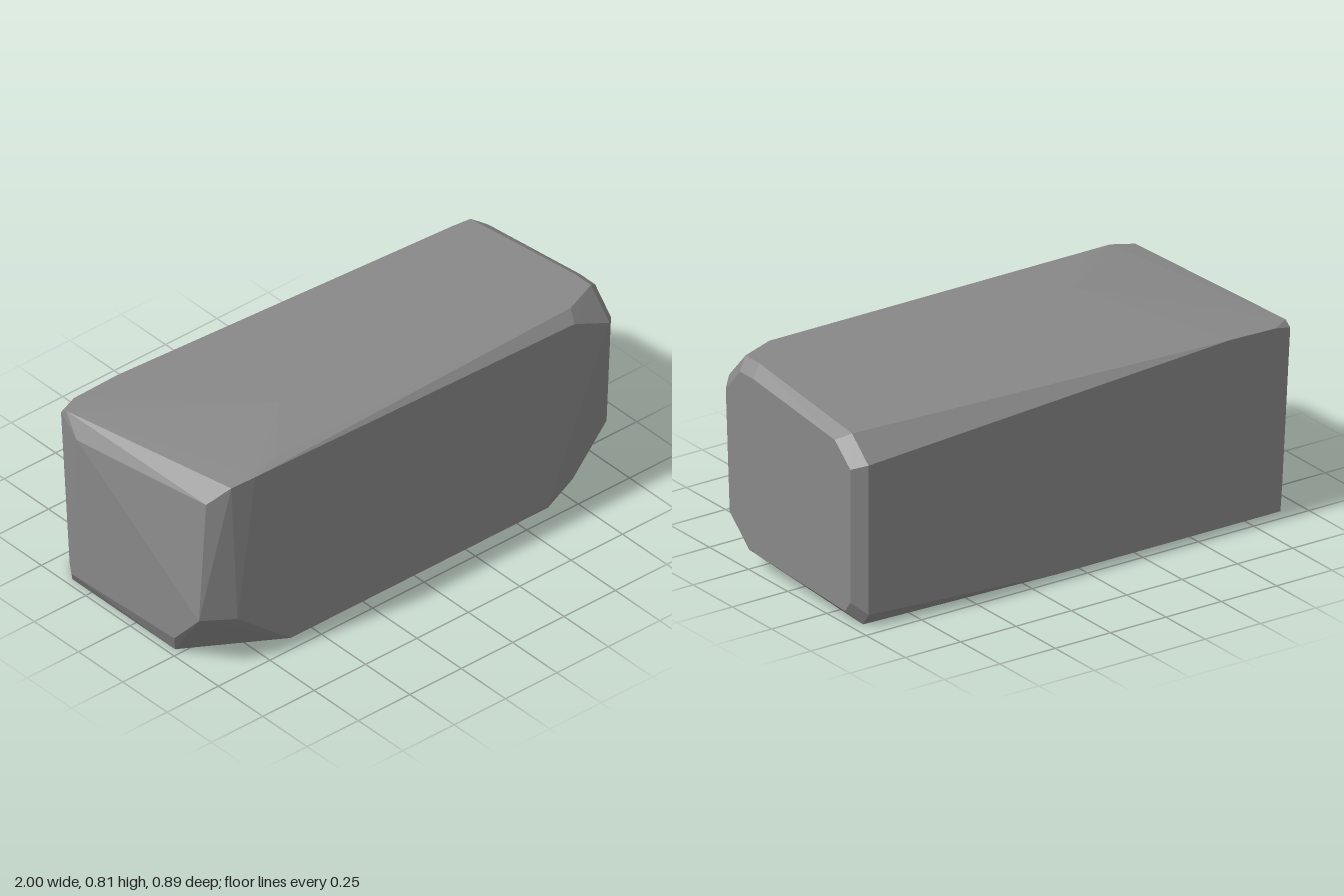
import * as THREE from 'three';
import { ConvexGeometry } from 'three/addons/geometries/ConvexGeometry.js';

// Corner points of the hewn block, grouped by region: [x, y, z]
const rightEnd = [
  [1, 0.675, 0.395], [1, 0.775, 0.305], [1, 0.775, 0.22], [1, 0.715, -0.30], [1, 0.63, -0.40],
  [1, 0.095, -0.40], [1, 0.05, -0.365], [1, 0.08, 0.245], [1, 0.19, 0.37],
];
const leftEnd = [
  [-1, 0.235, 0.39], [-1, 0.08, 0.25], [-1, 0.055, -0.33], [-1, 0.68, -0.30], [-0.94, 0.72, 0.36],
];
const front = [
  [-0.86, 0.21, 0.445], [-0.6, 0, 0.445], [0.65, 0, 0.445], [0.8, 0.04, 0.41],
  [0.95, 0.70, 0.445], [0.78, 0.775, 0.445], [-0.76, 0.80, 0.43],
];
const top = [
  [-0.86, 0.785, 0.41], [-0.62, 0.806, 0.385], [-0.4, 0.815, 0.15], [0.8, 0.815, 0.40],
  [0.95, 0.815, 0.34], [0.95, 0.815, 0.25], [0.95, 0.742, -0.34],
];
const back = [
  [-0.68, 0.745, -0.445], [-0.89, 0.74, -0.445], [-0.965, 0.742, -0.40], [-0.965, 0.72, -0.43],
  [0.95, 0.65, -0.445], [0.95, 0.05, -0.445], [0.08, 0, -0.445], [-0.91, 0, -0.445],
];
const bottom = [[0.95, 0, -0.41], [-0.97, 0, -0.36], [-0.97, 0, 0.22]];

export function createModel() {
  const group = new THREE.Group();
  group.name = 'stoneBlock';

  const stone = new THREE.MeshStandardMaterial({ color: 0x888888 });
  stone.name = 'stone grey';

  // Faceted stone with chipped edges
  const points = [rightEnd, leftEnd, front, top, back, bottom].flat().map((p) => new THREE.Vector3(...p));
  const block = new THREE.Mesh(new ConvexGeometry(points), stone);
  block.name = 'stone';
  group.add(block);
  return group;
}
